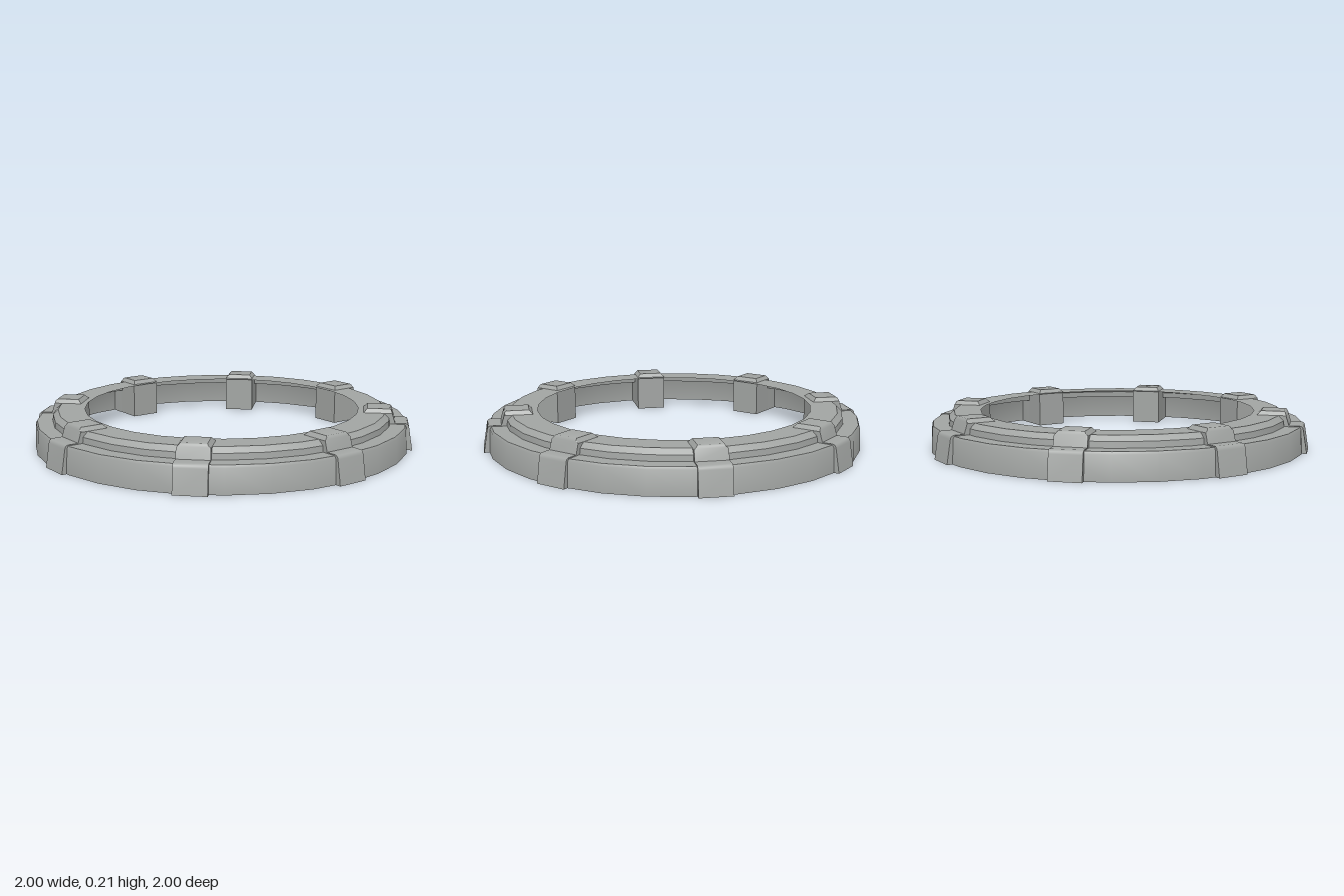
import * as THREE from 'three';
import { toCreasedNormals } from 'three/addons/utils/BufferGeometryUtils.js';

const CLAMPS = 8;
const RING_SIDES = 30;

// Hollow stepped ring, open underneath
function makeRing(material) {
  const profile = [
    [0.98, 0], [0.974, 0.122], [0.967, 0.135], [0.888, 0.135],
    [0.885, 0.165], [0.858, 0.19], [0.72, 0.19],
  ].map(([r, y]) => new THREE.Vector2(r, y));
  const lathe = new THREE.LatheGeometry(profile, RING_SIDES, Math.PI / 2);
  const ring = new THREE.Mesh(toCreasedNormals(lathe, 0.5), material);
  ring.name = 'ring';
  return ring;
}

// Clamp shell lofted outward along x: each station is
// [radius, top height, top half width, shoulder height, side half width]
function makeClampGeometry() {
  const stations = [
    [0.747, 0, 0.079, 0, 0.079],
    [0.747, 0.19, 0.079, 0.19, 0.079],
    [0.765, 0.21, 0.062, 0.19, 0.079],
    [0.88, 0.21, 0.062, 0.19, 0.079],
    [0.887, 0.205, 0.065, 0.19, 0.079],
    [0.892, 0.195, 0.069, 0.19, 0.079],
    [0.908, 0.14, 0.08, 0.14, 0.08],
    [0.962, 0.14, 0.08, 0.14, 0.08],
    [0.971, 0.137, 0.08, 0.137, 0.08],
    [0.977, 0.13, 0.08, 0.13, 0.08],
    [0.98, 0.12, 0.08, 0.12, 0.08],
    [1.0, 0, 0.08, 0, 0.08],
  ];
  const positions = [];
  const index = [];
  const n = 6;
  stations.forEach(([r, y, w, shoulder, side], i) => {
    positions.push(
      r, 0, -side, r, shoulder, -side, r, y, -w,
      r, y, w, r, shoulder, side, r, 0, side);
    if (i === 0) return;
    for (let j = 0; j < n - 1; j++) {
      const a = (i - 1) * n + j;
      const b = a + n;
      index.push(a, a + 1, b + 1, a, b + 1, b);
    }
  });
  const geometry = new THREE.BufferGeometry();
  geometry.setAttribute('position', new THREE.Float32BufferAttribute(positions, 3));
  geometry.setIndex(index);
  return toCreasedNormals(geometry, 0.63);
}

export function createModel() {
  const model = new THREE.Group();
  model.name = 'clampedRing';
  const material = new THREE.MeshStandardMaterial({
    color: 0xa2a5a3, side: THREE.DoubleSide,
  });
  model.add(makeRing(material));

  // Clamps evenly spaced around the ring
  const clampGeometry = makeClampGeometry();
  for (let i = 0; i < CLAMPS; i++) {
    const clamp = new THREE.Mesh(clampGeometry, material);
    clamp.name = `clamp${i + 1}`;
    clamp.rotation.y = (i / CLAMPS) * Math.PI * 2;
    model.add(clamp);
  }
  return model;
}
